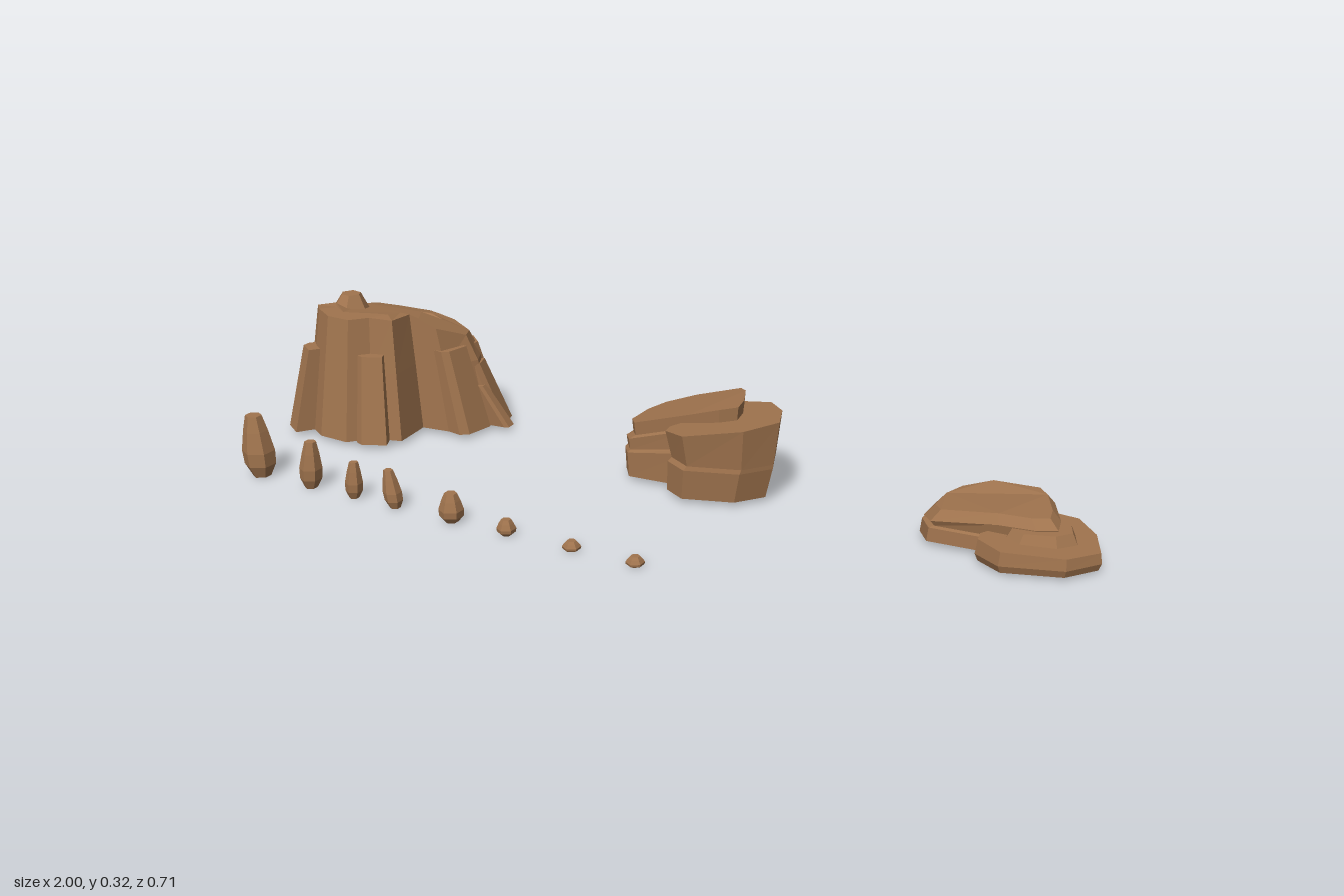
import * as THREE from 'three';

const mat = new THREE.MeshStandardMaterial({ color: 0xa0744e, flatShading: true, side: THREE.DoubleSide });

// Skin through rings of [x, y, z] points (same count), flat cap on the last ring, open base
function loft(name, rings) {
  const n = rings[0].length;
  const flat = rings[0].map(p => new THREE.Vector2(p[0], p[2]));
  if (THREE.ShapeUtils.area(flat) > 0) rings = rings.map(r => [...r].reverse());
  const idx = [];
  for (let k = 0; k < rings.length - 1; k++) {
    for (let i = 0; i < n; i++) {
      const j = (i + 1) % n, a = k * n + i, b = k * n + j;
      idx.push(a, b, b + n, a, b + n, a + n);
    }
  }
  const top = rings[rings.length - 1], base = (rings.length - 1) * n;
  for (const t of THREE.ShapeUtils.triangulateShape(top.map(p => new THREE.Vector2(p[0], p[2])), [])) {
    const [a, b, c] = t.map(i => top[i]);
    const up = (b[2] - a[2]) * (c[0] - a[0]) - (b[0] - a[0]) * (c[2] - a[2]) > 0;
    idx.push(base + t[0], base + t[up ? 1 : 2], base + t[up ? 2 : 1]);
  }
  const g = new THREE.BufferGeometry();
  g.setAttribute('position', new THREE.Float32BufferAttribute(rings.flat(2), 3));
  g.setIndex(idx);
  const flatG = g.toNonIndexed();
  flatG.computeVertexNormals();
  const m = new THREE.Mesh(flatG, mat);
  m.name = name;
  return m;
}

// Ring from an outline scaled about a centre; y is a number or a function of x, z
const ring = (pts, [cx, cz], s, y, dx = 0) => pts.map(([px, pz]) => {
  const x = cx + (px - cx) * s + dx, z = cz + (pz - cz) * s;
  return [x, typeof y === 'function' ? y(x, z) : y, z];
});

// Tapered pillar leaning towards the middle of the cliff
function pillar(name, x, z, w, d, turn, h, lean = 0.2) {
  const c = Math.cos(turn), s = Math.sin(turn);
  const box = [[-1, -1], [-1, 0.6], [-0.6, 1], [1, 1], [1, -1]].map(([u, v]) =>
    [x + u * w / 2 * c + v * d / 2 * s, z - u * w / 2 * s + v * d / 2 * c]);
  const low = ring(box, [x, z], 1, 0.01);
  const high = ring(box, [x, z], 0.8, h).map(([a, b, e]) =>
    [a + (-0.78 - x) * lean, b, e + (-0.11 - z) * lean]);
  return loft(name, [low, high]);
}

function createCliff() {
  const g = new THREE.Group();
  g.name = 'tallCliff';
  const c = [-0.78, -0.11];
  const outline = [[-1, -0.16], [-0.95, -0.24], [-0.92, -0.28], [-0.85, -0.31], [-0.74, -0.32],
    [-0.68, -0.28], [-0.62, -0.28], [-0.55, -0.26], [-0.52, -0.2], [-0.56, -0.1], [-0.65, -0.09],
    [-0.64, 0.01], [-0.71, 0.03], [-0.75, 0.08], [-0.83, 0.075], [-0.9, 0.03], [-0.955, -0.03],
    [-0.965, -0.1]];
  const roof = (x, z) => 0.3 - Math.max(0, -0.06 - z) * 0.27 - Math.max(0, x + 0.68) * 0.35
    - Math.max(0, -0.9 - x) * 0.5;
  g.add(loft('cliffBody', [
    ring(outline, c, 1, 0.01),
    ring(outline, c, 0.88, 0.17),
    ring(outline, c, 0.78, roof),
    ring(outline, c, 0.55, roof),
  ]));
  // Pillars around the foot: x, z, width, depth, turn, height
  [[-0.9, 0.03, 0.07, 0.09, -0.6, 0.21], [-0.705, 0.03, 0.075, 0.08, 0.45, 0.215],
    [-0.95, -0.19, 0.07, 0.08, -1.9, 0.25], [-0.9, -0.28, 0.09, 0.08, -2.5, 0.2],
    [-0.79, -0.315, 0.12, 0.08, 3.14, 0.17], [-0.69, -0.29, 0.08, 0.07, 2.8, 0.21],
    [-0.575, -0.25, 0.08, 0.08, 2.4, 0.2], [-0.56, -0.14, 0.09, 0.08, 1.4, 0.21],
    [-0.53, -0.22, 0.07, 0.07, 1.9, 0.16], [-0.495, -0.2, 0.03, 0.05, 1.65, 0.11]]
    .forEach(p => g.add(pillar('cliffPillar', ...p)));
  // Knob on the roof
  const knob = [[-0.91, -0.09], [-0.88, -0.14], [-0.82, -0.13], [-0.8, -0.09], [-0.83, -0.04], [-0.88, -0.045]];
  g.add(loft('cliffKnob', [ring(knob, [-0.85, -0.1], 1, 0.27), ring(knob, [-0.85, -0.1], 0.45, 0.318)]));
  return g;
}

// Outlines shared by the two lower rocks
const slab = [[-0.095, -0.19], [-0.07, -0.24], [0, -0.275], [0.12, -0.285], [0.15, -0.25],
  [0.19, -0.16], [0.2, -0.107], [0.16, -0.085], [0.08, -0.075], [-0.065, -0.065], [-0.095, -0.107]];
const lobe = [[0.1, -0.26], [0.15, -0.25], [0.2, -0.25], [0.255, -0.19], [0.287, -0.107],
  [0.235, -0.037], [0.11, 0.005], [0.05, -0.03], [0.045, -0.06], [0.08, -0.13]];
const sc = [0.05, -0.17], lc = [0.16, -0.13];

function createSlopedRock() {
  const g = new THREE.Group();
  g.name = 'slopedRock';
  const top = x => Math.min(0.205, 0.133 + 0.3 * (x + 0.07));
  const ledge = x => top(x) - 0.035;
  g.add(loft('slopedBody', [
    ring(slab, sc, 0.98, 0.01), ring(slab, sc, 1, x => 0.5 * top(x)), ring(slab, sc, 0.96, x => 0.55 * top(x)),
    ring(slab, sc, 0.98, ledge), ring(slab, sc, 0.88, x => ledge(x) + 0.004),
    ring(slab, sc, 0.9, top),
  ]));
  // Side lobe that overhangs its foot
  const lobeTop = x => 0.145 + 0.16 * x;
  g.add(loft('slopedLobe', [
    ring(lobe, lc, 0.88, 0.01, -0.015), ring(lobe, lc, 0.93, 0.08, -0.005), ring(lobe, lc, 0.9, 0.09),
    ring(lobe, lc, 1, lobeTop),
  ]));
  return g;
}

function createFlatRock() {
  const g = new THREE.Group();
  g.name = 'flatRock';
  const top = x => 0.092 - Math.max(0, 0.01 - x) * 0.25;
  g.add(loft('flatBody', [
    ring(slab, sc, 1, 0.01), ring(slab, sc, 0.98, 0.04), ring(slab, sc, 0.9, 0.043),
    ring(slab, sc, 0.96, x => top(x) - 0.02), ring(slab, sc, 0.82, top),
  ]));
  g.add(loft('flatLobe', [
    ring(lobe, lc, 0.95, 0.006), ring(lobe, lc, 1, 0.022), ring(lobe, lc, 0.97, x => 0.056 - 0.04 * x),
  ]));
  // Small step between slab and lobe
  g.add(loft('flatStep', [ring(lobe, lc, 0.6, 0.04), ring(lobe, lc, 0.48, 0.07)]));
  g.position.x = 0.71;
  return g;
}

// Row of faceted stones: x, width, height, lean of the top
function createStones() {
  const g = new THREE.Group();
  g.name = 'stoneRow';
  const profile = [[0, 0], [0.55, 0], [0.95, 0.2], [1, 0.42], [0.75, 0.75], [0.5, 1], [0, 1]];
  [[-0.81, 0.075, 0.143, -0.012], [-0.66, 0.052, 0.11, 0.006], [-0.54, 0.04, 0.085, 0.004],
    [-0.435, 0.042, 0.085, -0.014], [-0.28, 0.055, 0.065, 0], [-0.14, 0.042, 0.035, 0],
    [0.02, 0.04, 0.022, 0], [0.17, 0.04, 0.022, 0]].forEach(([x, w, h, lean], i) => {
    const geo = new THREE.LatheGeometry(profile.map(([r, y]) => new THREE.Vector2(r * w / 2, y * h)), 6);
    const p = geo.attributes.position;
    for (let k = 0; k < p.count; k++) {
      const t = p.getY(k) / h;
      p.setX(k, p.getX(k) + lean * (t - 0.4));
    }
    geo.computeVertexNormals();
    const m = new THREE.Mesh(geo, mat);
    m.name = 'stone' + (i + 1);
    m.position.set(x, 0, 0.315);
    g.add(m);
  });
  return g;
}

export function createModel() {
  const model = new THREE.Group();
  model.name = 'rockSet';
  model.add(createCliff(), createSlopedRock(), createFlatRock(), createStones());
  return model;
}
